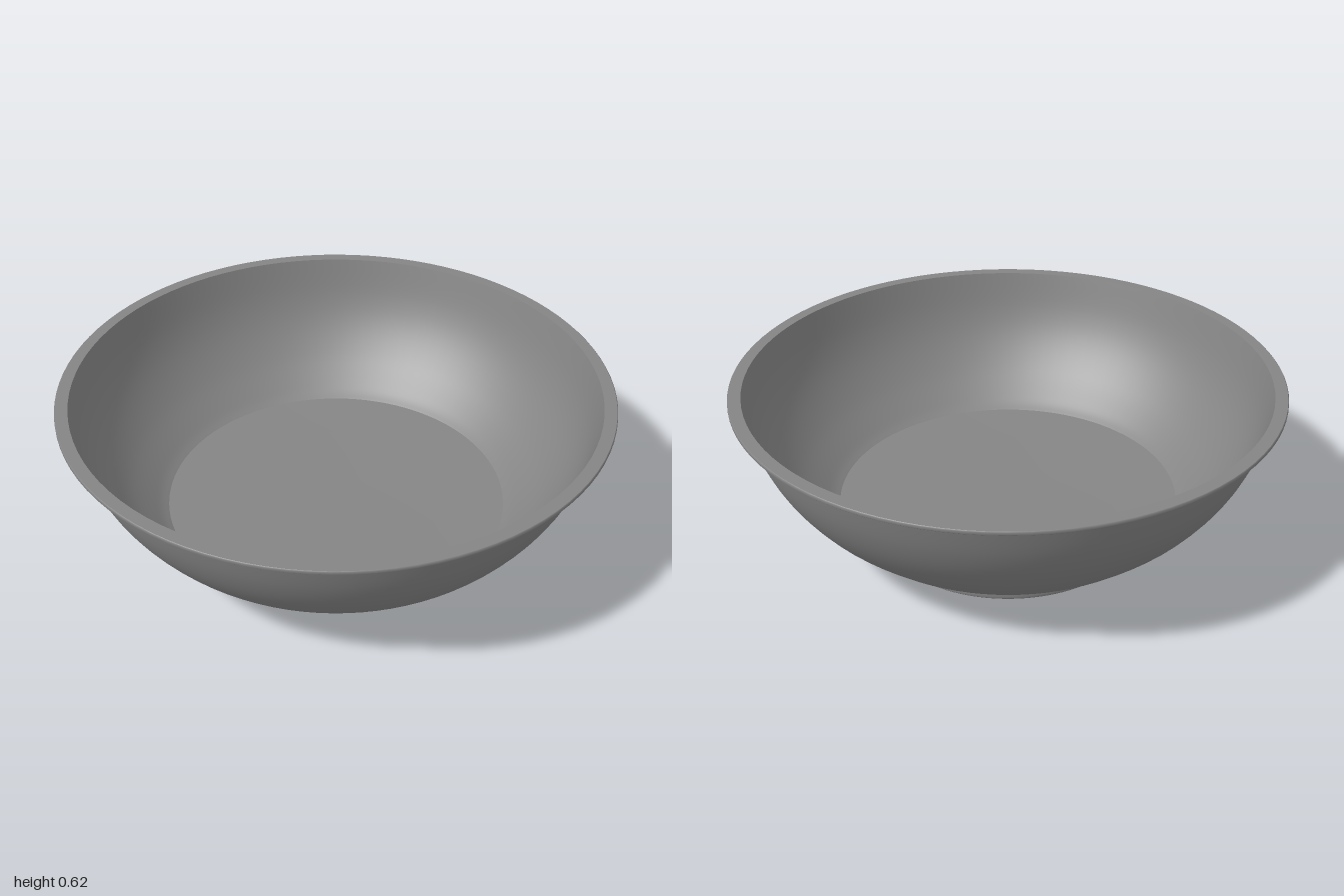
import * as THREE from 'three';

// Revolves a profile; sharp corners come from splitting profiles into separate surfaces
// (upward profiles face outward, downward ones face the axis).
function revolve(name, points, material) {
  const geometry = new THREE.LatheGeometry(points.map(([r, y]) => new THREE.Vector2(r, y)), 96);
  const mesh = new THREE.Mesh(geometry, material);
  mesh.name = name;
  return mesh;
}

// Smooth curve through a few profile points
function smooth(points, steps) {
  const curve = new THREE.SplineCurve(points.map(([r, y]) => new THREE.Vector2(r, y)));
  return curve.getPoints(steps).map((p) => [p.x, p.y]);
}

export function createModel() {
  const bowl = new THREE.Group();
  bowl.name = 'bowl';
  const grey = new THREE.MeshStandardMaterial({ color: 0x858585 });
  grey.name = 'grey';

  const wall = [
    [0.625, 0.123], [0.655, 0.133], [0.69, 0.16], [0.785, 0.25],
    [0.866, 0.36], [0.92, 0.475], [0.957, 0.61],
  ];
  // Inner wall sits just inside the outer one
  const inner = wall.slice(1).map(([r, y]) => [r - 0.008, y + 0.004]).reverse();
  inner[0] = [0.953, 0.625];
  inner[inner.length - 1] = [0.637, 0.132];

  bowl.add(
    // Body
    revolve('outerWall', smooth(wall, 28), grey),
    revolve('innerWall', smooth(inner, 28), grey),
    revolve('floor', [[0.637, 0.132], [0.4, 0.128], [0, 0.127]], grey),
    // Underside shoulder, stepping down to the foot
    revolve('underside', [[0.51, 0.108], [0.555, 0.11], [0.565, 0.119], [0.625, 0.123]], grey),
    // Flat flange around the mouth
    revolve('rimUnderside', [[0.957, 0.61], [0.997, 0.61]], grey),
    revolve('rimEdge', [[0.997, 0.61], [1, 0.613], [1, 0.622], [0.997, 0.625]], grey),
    revolve('rimTop', [[0.997, 0.625], [0.953, 0.625]], grey),
    // Thin hollow foot ring with a recessed base
    revolve('footOuter', [[0.51, 0.004], [0.513, 0.015], [0.513, 0.112]], grey),
    revolve('footEdge', [[0.506, 0], [0.51, 0.004]], grey),
    revolve('footInner', [[0.506, 0.11], [0.506, 0]], grey),
    revolve('footRecess', [[0, 0.109], [0.507, 0.109]], grey),
  );
  return bowl;
}
